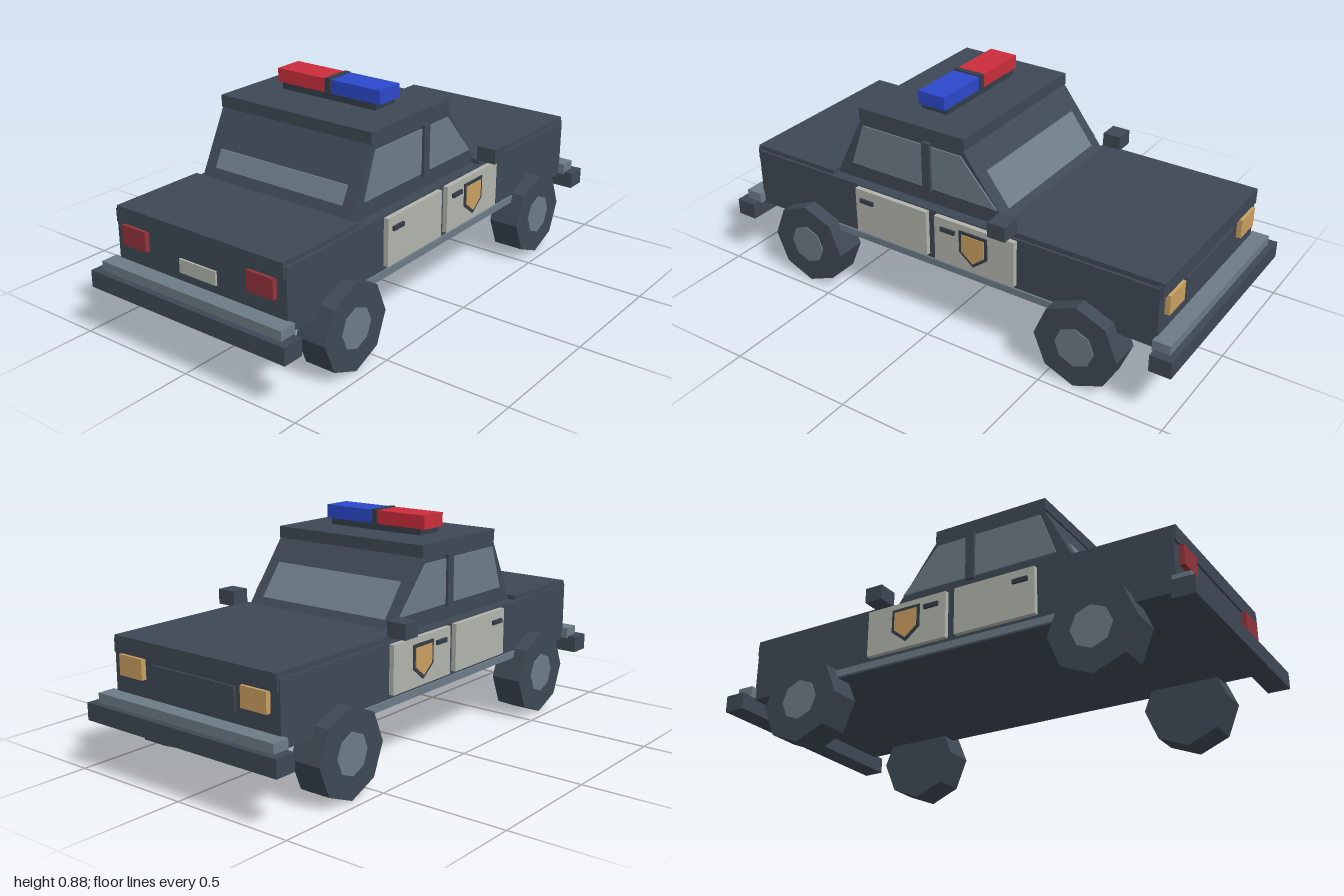
import * as THREE from 'three';

const mat = (name, color) => {
  const m = new THREE.MeshStandardMaterial({ color });
  m.name = name;
  return m;
};

export function createModel() {
  const car = new THREE.Group();
  car.name = 'patrolCar';

  const body = mat('slate body', 0x3e4955);
  const trim = mat('dark trim', 0x353e49);
  const glass = mat('grey blue', 0x6d7c87);
  const cream = mat('cream panel', 0xb2b5ac);
  const gold = mat('gold', 0xcba061);
  const red = mat('beacon red', 0xcb2d3b);
  const blue = mat('beacon blue', 0x2c49cb);
  const tail = mat('tail light red', 0x93343c);

  const add = (name, geo, material) => {
    const mesh = new THREE.Mesh(geo, material);
    mesh.name = name;
    car.add(mesh);
    return mesh;
  };
  // Box given by its extents on each axis
  const box = (name, material, [x0, x1], [y0, y1], [z0, z1]) => {
    const g = new THREE.BoxGeometry(Math.abs(x1 - x0), y1 - y0, Math.abs(z1 - z0));
    g.translate((x0 + x1) / 2, (y0 + y1) / 2, (z0 + z1) / 2);
    return add(name, g, material);
  };
  // Side outline of [z, y] points, extruded between two x positions
  const prism = (name, material, points, xa, xb) => {
    const shape = new THREE.Shape(points.map(([z, y]) => new THREE.Vector2(z, y)));
    const g = new THREE.ExtrudeGeometry(shape, { depth: Math.abs(xb - xa), bevelEnabled: false });
    g.rotateY(-Math.PI / 2).translate(Math.max(xa, xb), 0, 0);
    return add(name, g, material);
  };
  // Eight-sided disc lying along x
  const disc = (name, radius, width, x, y, z, material) => {
    let g = new THREE.CylinderGeometry(radius, radius, width, 8).toNonIndexed();
    g.computeVertexNormals();
    g.rotateZ(Math.PI / 2).translate(x, y, z);
    return add(name, g, material);
  };

  // Lower body with hood and trunk lids
  box('lowerBody', body, [-0.4, 0.4], [0.25, 0.49], [-0.91, 0.91]);
  box('hoodLid', body, [-0.39, 0.39], [0.485, 0.51], [-0.92, -0.25]);
  box('trunkLid', body, [-0.39, 0.39], [0.485, 0.508], [0.52, 0.918]);

  // Cabin and roof
  const rearZ = y => 0.525 - (y - 0.49) * 0.5;
  const frontZ = y => -0.275 + (y - 0.49) * 0.76;
  prism('cabin', body, [
    [rearZ(0.49), 0.49], [rearZ(0.755), 0.755], [frontZ(0.755), 0.755], [frontZ(0.49), 0.49],
  ], -0.355, 0.355);
  box('roof', body, [-0.355, 0.355], [0.75, 0.797], [-0.082, 0.402]);

  // Sloped windscreens
  const screen = (name, edge, y0, y1, out) => prism(name, glass, [
    [edge(y0), y0], [edge(y1), y1], [edge(y1) + out, y1], [edge(y0) + out, y0],
  ], -0.302, 0.302);
  screen('rearScreen', rearZ, 0.545, 0.61, 0.006);
  screen('windscreen', frontZ, 0.54, 0.665, -0.006);

  // Both sides
  const shield = (s, cz, cy) => [
    [-1, 1], [1, 1], [1, -0.3], [0, -1], [-1, -0.3],
  ].map(([u, v]) => [cz + u * 0.062 * s, cy + v * 0.07 * s]);

  for (const s of [1, -1]) {
    const side = s > 0 ? 'left' : 'right';
    prism(side + 'RearWindow', glass,
      [[0.445, 0.553], [0.383, 0.728], [0.102, 0.728], [0.102, 0.553]], s * 0.352, s * 0.361);
    prism(side + 'FrontWindow', glass,
      [[0.062, 0.553], [0.062, 0.728], [-0.068, 0.728], [-0.225, 0.553]], s * 0.352, s * 0.361);
    box(side + 'DoorPillar', body, [s * 0.35, s * 0.37], [0.543, 0.743], [0.064, 0.1]);

    box(side + 'RearDoor', cream, [s * 0.395, s * 0.42], [0.298, 0.485], [0.05, 0.388]);
    box(side + 'FrontDoor', cream, [s * 0.395, s * 0.42], [0.298, 0.485], [-0.34, 0.012]);
    for (const z of [0.3, -0.082]) {
      box(side + 'DoorHandle', trim, [s * 0.415, s * 0.429], [0.432, 0.449], [z, z + 0.063]);
    }
    prism(side + 'BadgeRim', trim, shield(1, -0.164, 0.391), s * 0.418, s * 0.424);
    prism(side + 'Badge', gold, shield(0.8, -0.164, 0.392), s * 0.42, s * 0.427);

    box(side + 'Sill', glass, [s * 0.39, s * 0.408], [0.254, 0.282], [-0.5, 0.5]);
    box(side + 'Mirror', body, [s * 0.38, s * 0.462], [0.505, 0.565], [-0.328, -0.253]);

    for (const z of [0.625, -0.623]) {
      disc(side + 'Tire', 0.17, 0.126, s * 0.397, 0.17, z, body);
      disc(side + 'Hub', 0.08, 0.02, s * 0.454, 0.17, z, glass);
    }
    box(side + 'TailLight', tail, [s * 0.24, s * 0.357], [0.368, 0.446], [0.9, 0.93]);
    box(side + 'Headlight', gold, [s * 0.24, s * 0.357], [0.368, 0.446], [-0.93, -0.9]);
  }

  // Bumpers and lips at both ends
  for (const s of [1, -1]) {
    const end = s > 0 ? 'rear' : 'front';
    box(end + 'Lip', body, [-0.395, 0.395], [0.446, 0.496], [s * 0.9, s * 0.918]);
    box(end + 'Bumper', body, [-0.462, 0.462], [0.195, 0.262], [s * 0.914, s]);
    box(end + 'BumperTop', glass, [-0.427, 0.427], [0.255, 0.299], [s * 0.905, s * 0.975]);
  }
  box('numberPlate', cream, [-0.086, 0.086], [0.333, 0.386], [0.9, 0.918]);
  box('grille', body, [-0.2, 0.2], [0.345, 0.43], [-0.918, -0.9]);

  // Roof beacons
  box('beaconBase', trim, [-0.222, 0.222], [0.79, 0.833], [0.085, 0.202]);
  box('redBeacon', red, [-0.243, -0.016], [0.822, 0.876], [0.083, 0.203]);
  box('blueBeacon', blue, [0.016, 0.243], [0.822, 0.876], [0.083, 0.203]);
  box('beaconDivider', trim, [-0.012, 0.012], [0.82, 0.879], [0.081, 0.205]);

  return car;
}
